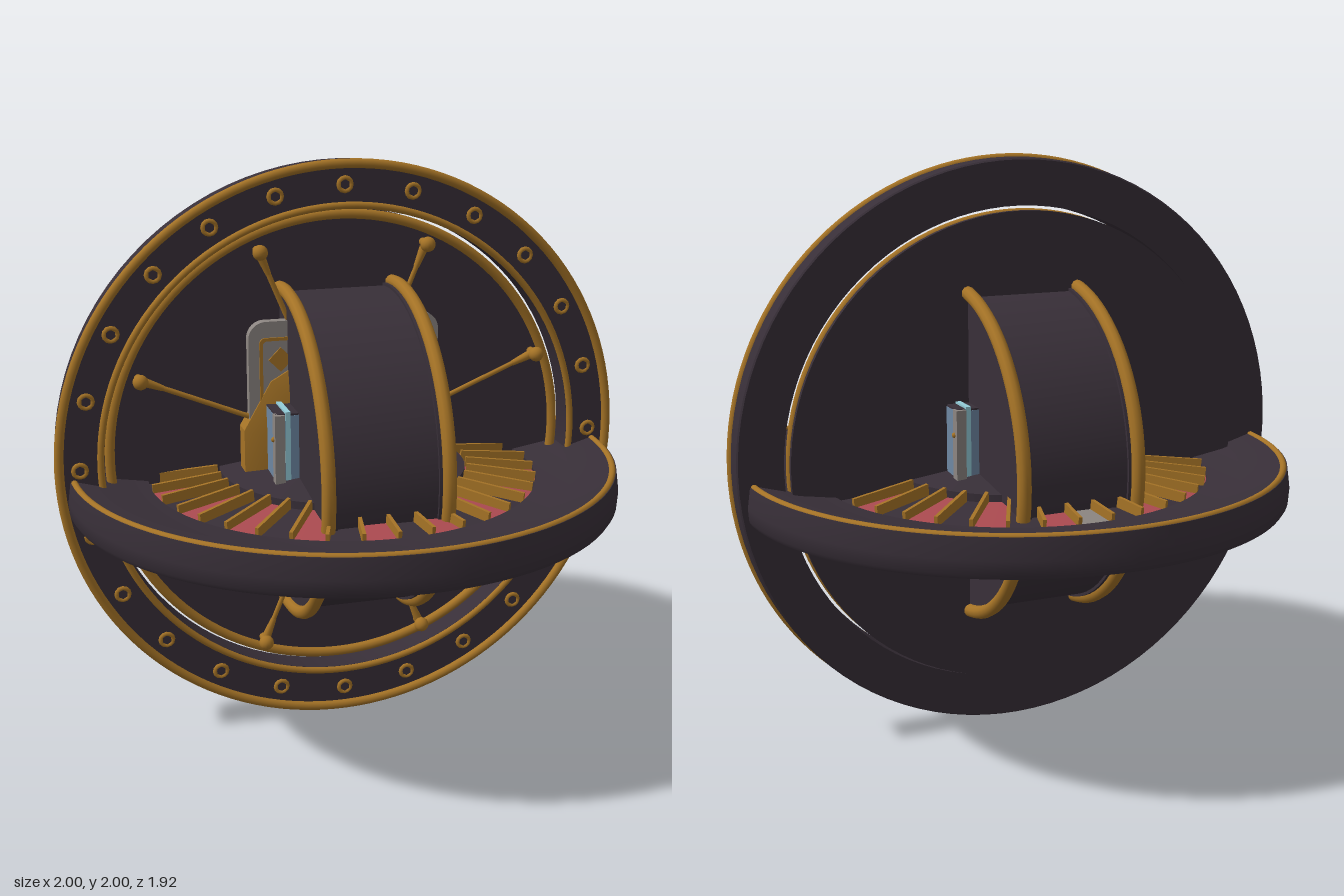
import * as THREE from 'three';
import { toCreasedNormals } from 'three/addons/utils/BufferGeometryUtils.js';

const paint = (name, color) => {
  const m = new THREE.MeshStandardMaterial({ color });
  m.name = name;
  return m;
};
const dark = paint('dark lacquer', 0x382f38);
const gold = paint('aged gold', 0xa57326);
const red = paint('pocket red', 0xab4a50);
const grey = paint('pewter grey', 0x8c8581);
const blue = paint('slate blue', 0x6d87a2);
const cyan = paint('pale cyan', 0x93ccd8);

const C = 1; // height of the common centre

function add(parent, name, geometry, material, x = 0, y = 0, z = 0) {
  const mesh = new THREE.Mesh(geometry, material);
  mesh.name = name;
  mesh.position.set(x, y, z);
  parent.add(mesh);
  return mesh;
}

// Turned solid around y from [radius, height] pairs, edges kept sharp
function turned(points, segments = 96) {
  const profile = points.map(([r, y]) => new THREE.Vector2(r, y));
  return toCreasedNormals(new THREE.LatheGeometry(profile, segments), 0.5);
}

const hoop = (radius, tube, segments = 96) => new THREE.TorusGeometry(radius, tube, 10, segments);

function roundedRect(w, h, r) {
  const s = new THREE.Shape();
  s.absarc(w - r, h - r, r, 0, Math.PI / 2);
  s.absarc(-w + r, h - r, r, Math.PI / 2, Math.PI);
  s.absarc(-w + r, -h + r, r, Math.PI, Math.PI * 1.5);
  s.absarc(w - r, -h + r, r, Math.PI * 1.5, Math.PI * 2);
  return s;
}

// Upright ring with bolts, gold rims and the thin disc behind it
function uprightRing() {
  const g = new THREE.Group();
  g.name = 'uprightRing';
  const body = turned([[0.833, -0.055], [0.985, -0.055], [0.99, -0.05], [0.99, 0.025], [0.98, 0.035], [0.833, 0.035], [0.833, -0.055]]);
  add(g, 'ringBody', body.rotateX(Math.PI / 2), dark);
  add(g, 'outerRim', hoop(0.984, 0.016, 128), gold, 0, 0, 0.041);
  add(g, 'innerRim', hoop(0.845, 0.012, 128), gold, 0, 0, 0.036);
  add(g, 'backDisc', new THREE.CylinderGeometry(0.82, 0.82, 0.018, 96).rotateX(Math.PI / 2), dark, 0, 0, -0.084);
  add(g, 'discRim', hoop(0.806, 0.017, 128), gold, 0, 0, -0.038);

  const boltRing = new THREE.TorusGeometry(0.022, 0.008, 6, 12);
  const boltHead = new THREE.CylinderGeometry(0.017, 0.017, 0.012, 6).rotateX(Math.PI / 2);
  for (let i = 0; i < 24; i++) {
    const a = (i / 24) * Math.PI * 2;
    const x = 0.915 * Math.cos(a), y = 0.915 * Math.sin(a);
    add(g, 'boltCollar', boltRing, gold, x, y, 0.038);
    add(g, 'boltHead', boltHead, dark, x, y, 0.036);
  }
  return g;
}

// Eight thin arms with ball ends on short posts
function spokes() {
  const g = new THREE.Group();
  g.name = 'spokes';
  const rod = new THREE.CylinderGeometry(0.009, 0.009, 0.5, 8);
  const collar = new THREE.CylinderGeometry(0.016, 0.01, 0.07, 10);
  const post = new THREE.CylinderGeometry(0.014, 0.014, 0.06, 10).rotateX(Math.PI / 2);
  const ball = new THREE.SphereGeometry(0.026, 16, 12);
  for (let i = 0; i < 8; i++) {
    const arm = new THREE.Group();
    arm.name = 'spoke';
    add(arm, 'spokeRod', rod, gold, 0, 0.51, 0.018);
    add(arm, 'spokeCollar', collar, gold, 0, 0.71, 0.018);
    add(arm, 'spokePost', post, gold, 0, 0.76, 0.015);
    add(arm, 'spokeBall', ball, gold, 0, 0.76, 0.042);
    arm.rotation.z = (i + 0.5) * Math.PI / 4;
    g.add(arm);
  }
  return g;
}

// Central card-shaped plate, gold frame, diamonds and twelve-sided hub
function centrePlate() {
  const g = new THREE.Group();
  g.name = 'centrePlate';
  const plate = new THREE.ExtrudeGeometry(roundedRect(0.335, 0.467, 0.06), { depth: 0.035, bevelEnabled: false });
  add(g, 'plate', plate, grey);
  const frame = roundedRect(0.298, 0.412, 0.02);
  frame.holes.push(roundedRect(0.287, 0.401, 0.015));
  add(g, 'plateFrame', new THREE.ExtrudeGeometry(frame, { depth: 0.008, bevelEnabled: false }), gold, 0, 0, 0.033);
  for (const sx of [-1, 1]) for (const sy of [-1, 1]) {
    const diamond = add(g, 'diamond', new THREE.BoxGeometry(0.06, 0.06, 0.008), gold, sx * 0.225, sy * 0.335, 0.037);
    diamond.rotation.z = Math.PI / 4;
  }
  const hub = turned([[0, -0.03], [0.368, -0.03], [0.368, 0.042], [0.3, 0.06], [0, 0.06]], 12);
  add(g, 'hub', hub.rotateY(Math.PI / 12).rotateX(Math.PI / 2), gold);
  return g;
}

// Level wheel: shallow bowl, sunken pockets, dividers and raised middle
function levelWheel() {
  const g = new THREE.Group();
  g.name = 'levelWheel';
  add(g, 'bowl', turned([[0, 0.83], [0.948, 0.83], [0.957, 0.845], [0.96, 0.89], [0.95, 0.96], [0.925, 0.96],
    [0.8, 0.925], [0.677, 0.905], [0.677, 0.893], [0.43, 0.91], [0.43, 0.937], [0.28, 0.958], [0.14, 0.975], [0.09, 1.02], [0, 1.04]], 96), dark);
  add(g, 'bowlRim', hoop(0.936, 0.012, 128).rotateX(Math.PI / 2), gold, 0, 0.957, 0);

  const n = 37, step = (Math.PI * 2) / n;
  const slope = [new THREE.Vector2(0.676, 0.897), new THREE.Vector2(0.432, 0.914)];
  const pocket = new THREE.LatheGeometry(slope, 4, Math.PI - step / 2, step);
  const divider = new THREE.BoxGeometry(0.012, 0.04, 0.24).rotateX(-0.093);
  for (let i = 0; i < n; i++) {
    if (i === 0 || i % 2) {
      add(g, 'pocket', pocket, i === 0 ? grey : red).rotation.y = -i * step;
    }
    const a = (i + 0.5) * step;
    add(g, 'pocketDivider', divider, gold, 0.555 * Math.sin(a), 0.918, -0.555 * Math.cos(a)).rotation.y = -a;
  }
  return g;
}

// Wide drum on a sideways axle with a gold hoop at each end
function drum() {
  const g = new THREE.Group();
  g.name = 'drum';
  const body = turned([[0, -0.2], [0.56, -0.2], [0.56, -0.168], [0.55, -0.168], [0.55, 0.168], [0.56, 0.168], [0.56, 0.2], [0, 0.2]], 64);
  add(g, 'drumBody', body.rotateZ(Math.PI / 2), dark);
  for (const s of [-1, 1]) add(g, 'drumHoop', hoop(0.564, 0.023).rotateY(Math.PI / 2), gold, s * 0.2, 0, 0);
  return g;
}

// Small cabinet fixed to one side of the drum, facing +x
function cabinet() {
  const g = new THREE.Group();
  g.name = 'sideCabinet';
  add(g, 'cabinetBody', new THREE.BoxGeometry(0.08, 0.3, 0.37), blue, 0.24, 0.03, 0);
  add(g, 'cabinetTop', new THREE.BoxGeometry(0.078, 0.006, 0.368), dark, 0.24, 0.183, 0);
  add(g, 'glowStrip', new THREE.BoxGeometry(0.018, 0.31, 0.374), cyan, 0.238, 0.038, 0);
  for (const s of [-1, 1]) {
    add(g, 'cornerBracket', new THREE.BoxGeometry(0.012, 0.3, 0.036), grey, 0.28, 0.036, s * 0.185);
    add(g, 'bracketReturn', new THREE.BoxGeometry(0.032, 0.3, 0.014), grey, 0.268, 0.036, s * 0.196);
    add(g, 'rivet', new THREE.SphereGeometry(0.009, 10, 8), gold, 0.286, 0.1, s * 0.18);
  }
  return g;
}

export function createModel() {
  const model = new THREE.Group();
  model.name = 'nestedWheels';
  const upper = new THREE.Group();
  upper.name = 'centredParts';
  upper.position.y = C;
  const right = cabinet();
  right.rotation.y = Math.PI;
  upper.add(uprightRing(), spokes(), centrePlate(), drum(), cabinet(), right);
  model.add(upper, levelWheel());
  return model;
}
